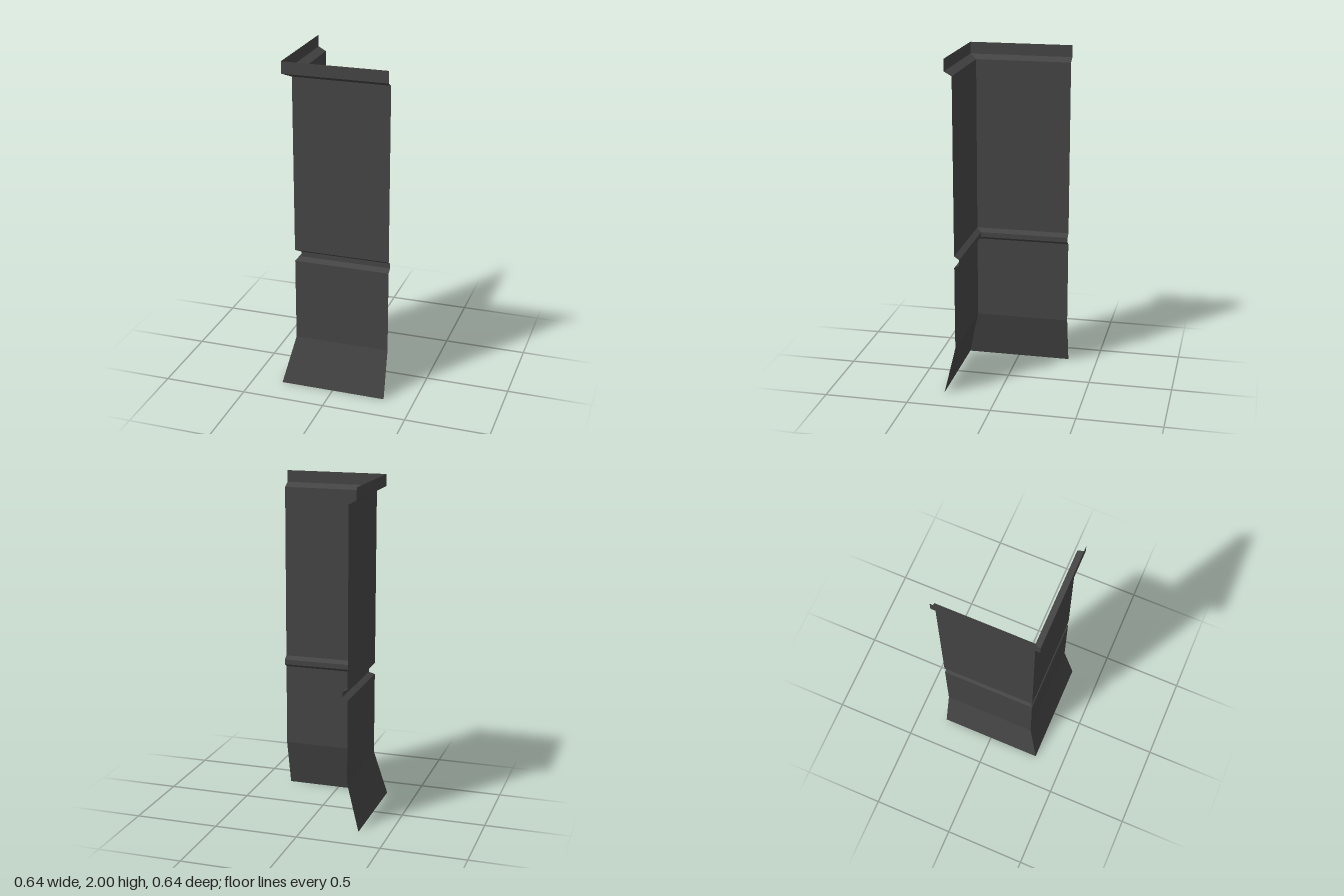
import * as THREE from 'three';

// Wall profile from bottom to top: [distance outward from centre, height]
const PROFILE = [
  [0.32, 0], [0.25, 0.29], [0.25, 0.79], [0.22, 0.81], [0.22, 0.84],
  [0.25, 0.86], [0.25, 1.905], [0.295, 1.93], [0.295, 2],
];
const END = 0.32;

// Named runs of the profile, as first and last point index
const PARTS = [
  ['flaredSkirt', 0, 1],
  ['lowerPanel', 1, 2],
  ['groove', 2, 5],
  ['upperPanel', 5, 6],
  ['topRim', 6, 8],
];

// One run of sheet, mitred at the corner and cut square at the free end
function sheet(from, to, isSide) {
  const pos = [];
  // The side wall is the front wall mirrored across the corner diagonal
  const place = (x, y, z) => (isSide ? [-z, y, -x] : [x, y, z]);
  for (let i = from; i < to; i++) {
    const [d0, y0] = PROFILE[i];
    const [d1, y1] = PROFILE[i + 1];
    const a = place(-d0, y0, d0), b = place(END, y0, d0);
    const c = place(END, y1, d1), d = place(-d1, y1, d1);
    const order = isSide ? [a, c, b, a, d, c] : [a, b, c, a, c, d];
    for (const p of order) pos.push(...p);
  }
  const geo = new THREE.BufferGeometry();
  geo.setAttribute('position', new THREE.Float32BufferAttribute(pos, 3));
  geo.computeVertexNormals();
  return geo;
}

export function createModel() {
  const model = new THREE.Group();
  model.name = 'cornerWall';
  const material = new THREE.MeshStandardMaterial({ color: 0x444444, side: THREE.DoubleSide });

  for (const wallName of ['frontWall', 'sideWall']) {
    const wall = new THREE.Group();
    wall.name = wallName;
    for (const [name, from, to] of PARTS) {
      const mesh = new THREE.Mesh(sheet(from, to, wallName === 'sideWall'), material);
      mesh.name = name;
      wall.add(mesh);
    }
    model.add(wall);
  }
  return model;
}
